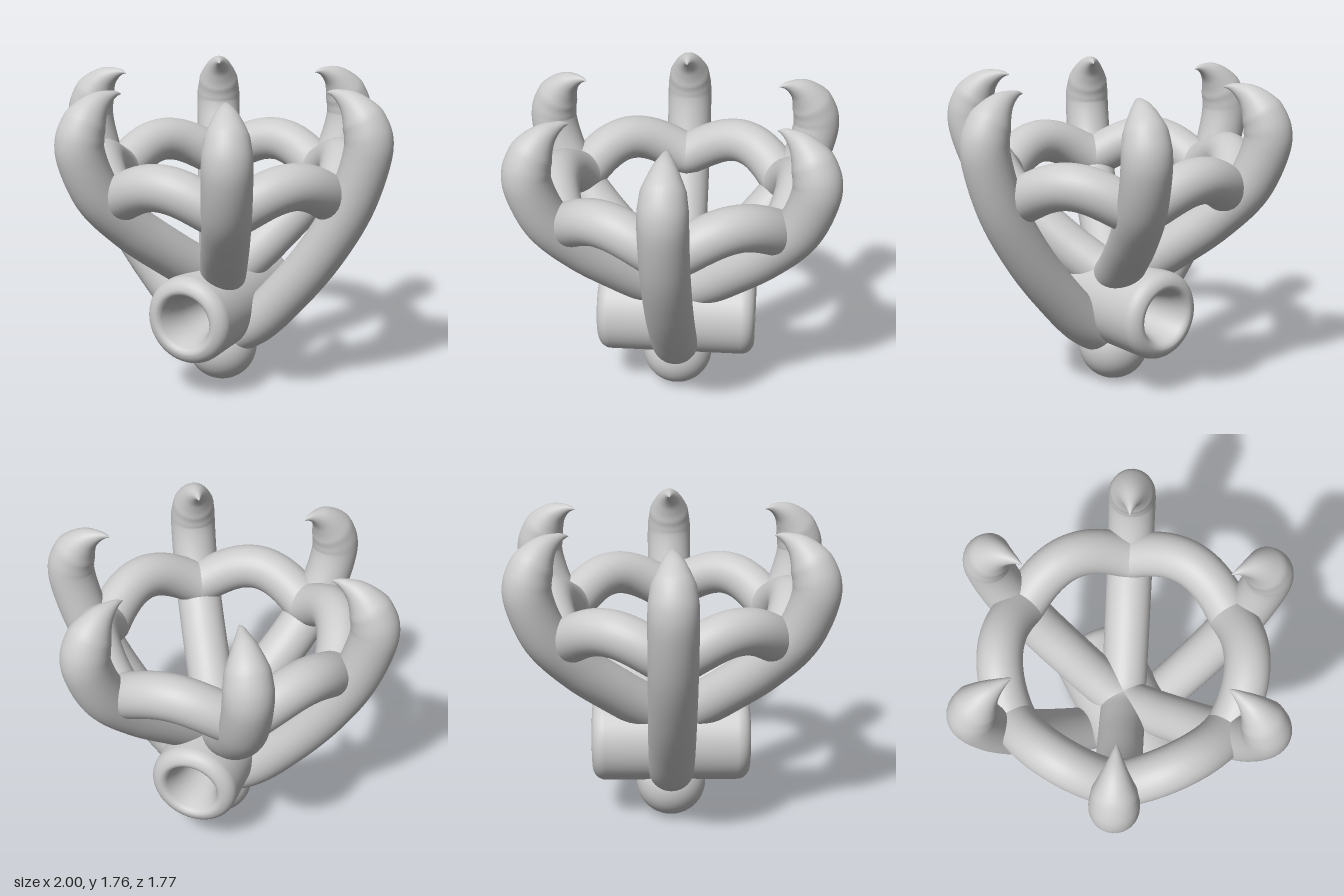
import * as THREE from 'three';
import { mergeVertices } from 'three/addons/utils/BufferGeometryUtils.js';

const material = new THREE.MeshStandardMaterial({ color: 0xcccccc });

function add(parent, name, geometry) {
  const mesh = new THREE.Mesh(geometry, material);
  mesh.name = name;
  parent.add(mesh);
  return mesh;
}

// Tube along a path in the xy plane; each station is [x, y, radius].
function taperedTube(stations, segments = 96, sides = 32) {
  const curve = new THREE.CatmullRomCurve3(stations.map(([x, y]) => new THREE.Vector3(x, y, 0)));
  const geo = new THREE.TubeGeometry(curve, segments, 1, sides);
  const pos = geo.attributes.position;
  const v = new THREE.Vector3();
  for (let i = 0; i <= segments; i++) {
    const u = i / segments;
    const centre = curve.getPointAt(u);
    const f = curve.getUtoTmapping(u) * (stations.length - 1);
    const k = Math.min(Math.floor(f), stations.length - 2);
    const r = THREE.MathUtils.lerp(stations[k][2], stations[k + 1][2], f - k);
    for (let j = 0; j <= sides; j++) {
      const n = i * (sides + 1) + j;
      v.fromBufferAttribute(pos, n).sub(centre).multiplyScalar(r).add(centre);
      pos.setXYZ(n, v.x, v.y, v.z);
    }
  }
  geo.deleteAttribute('normal');
  geo.deleteAttribute('uv');
  const smooth = mergeVertices(geo, 1e-5);
  smooth.computeVertexNormals();
  return smooth;
}

// Ring that rises in an arch between each pair of neighbouring prongs.
class ArchedRing extends THREE.Curve {
  getPoint(t, target = new THREE.Vector3()) {
    const a = t * Math.PI * 2;
    const y = 1.16 + 0.13 * Math.pow(Math.abs(Math.sin(3 * a)), 1.15);
    return target.set(0.665 * Math.cos(a), y, 0.665 * Math.sin(a));
  }
}

export function createModel() {
  const group = new THREE.Group();
  group.name = 'prongSetting';

  // Shared claw end, curling inwards to a point
  const claw = [
    [0.87, 1.45, 0.13], [0.866, 1.53, 0.128], [0.83, 1.615, 0.115],
    [0.765, 1.69, 0.072], [0.7, 1.726, 0.036], [0.655, 1.738, 0.016], [0.622, 1.735, 0.001],
  ];
  // Side prongs run down to the ball, the others meet above the hub
  const sideProng = taperedTube([
    [-0.1, 0.28, 0.13], [0.04, 0.29, 0.13], [0.2, 0.37, 0.13], [0.43, 0.61, 0.13],
    [0.625, 0.87, 0.13], [0.785, 1.16, 0.13], ...claw,
  ]);
  const diagonalProng = taperedTube([
    [-0.1, 0.62, 0.13], [0.05, 0.635, 0.13], [0.2, 0.715, 0.13], [0.364, 0.83, 0.13],
    [0.58, 1.0, 0.13], [0.775, 1.21, 0.13], ...claw,
  ]);
  for (let i = 0; i < 6; i++) {
    const side = i % 3 === 0;
    const prong = add(group, side ? 'sideProng' : 'diagonalProng', side ? sideProng : diagonalProng);
    prong.rotation.y = (i * Math.PI) / 3;
  }

  // Arched ring linking the prongs
  add(group, 'archedRing', new THREE.TubeGeometry(new ArchedRing(), 240, 0.125, 32, true));

  // Hub with rounded rims and a bore narrowing to the middle
  const half = [[0.085, 0], [0.09, 0.12], [0.11, 0.28], [0.125, 0.36], [0.15, 0.425], [0.16, 0.44]];
  for (let i = 0; i <= 8; i++) {
    const a = (i / 8) * (Math.PI / 2);
    half.push([0.175 + 0.075 * Math.sin(a), 0.375 + 0.075 * Math.cos(a)]);
  }
  const profile = [
    ...half,
    ...half.slice(1).reverse().map(([r, z]) => [r, -z]),
    half[0],
  ].map(([r, z]) => new THREE.Vector2(r, z)).reverse();
  const hub = add(group, 'hub', new THREE.LatheGeometry(profile, 64));
  hub.rotation.x = Math.PI / 2;
  hub.position.y = 0.475;

  // Ball at the foot, with a small collar blending into the side prongs
  add(group, 'footBall', new THREE.SphereGeometry(0.2, 48, 32)).position.y = 0.2;

  return group;
}
